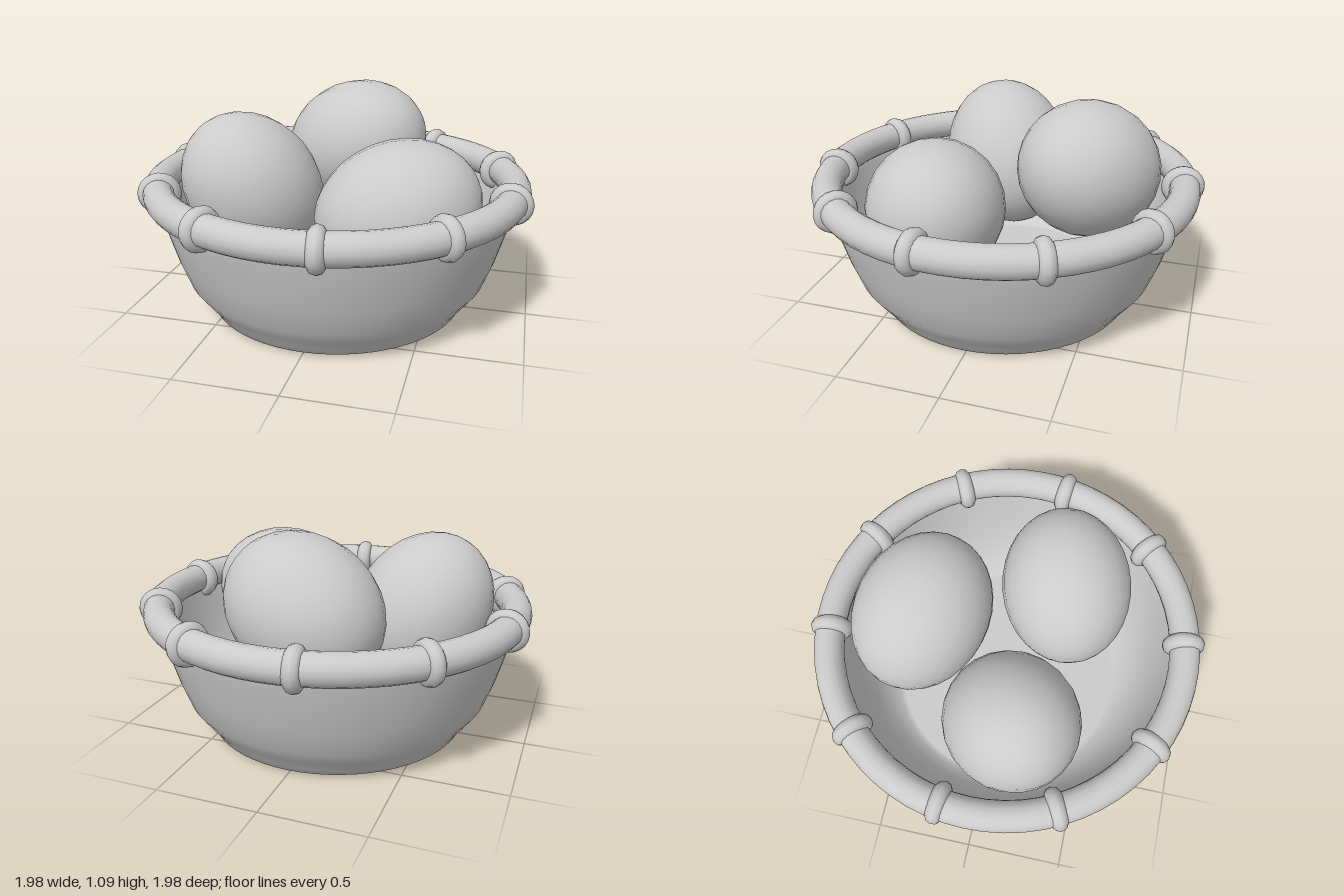
import * as THREE from 'three';

const material = new THREE.MeshStandardMaterial({ color: 0xcccccc });
const RIM_RADIUS = 0.903, RIM_Y = 0.645;

function addMesh(parent, name, geometry) {
  const mesh = new THREE.Mesh(geometry, material);
  mesh.name = name;
  parent.add(mesh);
  return mesh;
}

// Ellipsoid egg whose long axis points along the given direction
function addEgg(parent, name, center, axis) {
  const egg = addMesh(parent, name, new THREE.SphereGeometry(1, 24, 16));
  egg.scale.set(0.34, 0.41, 0.34);
  egg.position.set(...center);
  egg.quaternion.setFromUnitVectors(
    new THREE.Vector3(0, 1, 0), new THREE.Vector3(...axis).normalize());
}

export function createModel() {
  const model = new THREE.Group();
  model.name = 'eggBowl';

  // Bowl: outer wall from the base up, then the inner wall down to the floor
  const profile = [
    [0, 0], [0.635, 0], [0.64, 0.002], [0.665, 0.015], [0.68, 0.045],
    [0.73, 0.11], [0.782, 0.18], [0.83, 0.31], [0.865, 0.43], [0.9, 0.56], [0.91, 0.64],
    [0.88, 0.64], [0.865, 0.55], [0.83, 0.42], [0.795, 0.3], [0.745, 0.19],
    [0.69, 0.11], [0.63, 0.055], [0.6, 0.05], [0, 0.05],
  ].map(([x, y]) => new THREE.Vector2(x, y));
  addMesh(model, 'bowl', new THREE.LatheGeometry(profile, 64));

  // Rolled rim
  const rim = addMesh(model, 'rim', new THREE.TorusGeometry(RIM_RADIUS, 0.076, 16, 64));
  rim.rotation.x = Math.PI / 2;
  rim.position.y = RIM_Y;

  // Ten bands wrapped around the rim
  const bands = new THREE.Group();
  bands.name = 'rimBands';
  model.add(bands);
  const bandGeometry = new THREE.TorusGeometry(0.065, 0.042, 10, 20);
  for (let i = 0; i < 10; i++) {
    const angle = THREE.MathUtils.degToRad(9 + i * 36);
    const band = addMesh(bands, 'rimBand', bandGeometry);
    band.position.set(0.897 * Math.cos(angle), 0.64, 0.897 * Math.sin(angle));
    band.rotation.y = -angle;
  }

  // Three eggs resting inside
  addEgg(model, 'backEgg', [0.005, 0.74, -0.435], [1, 0.45, 0.33]);
  addEgg(model, 'rightEgg', [-0.42, 0.62, 0.11], [-0.48, 0.8, 0.35]);
  addEgg(model, 'leftEgg', [0.36, 0.595, 0.245], [1, 0.4, -0.3]);

  return model;
}
